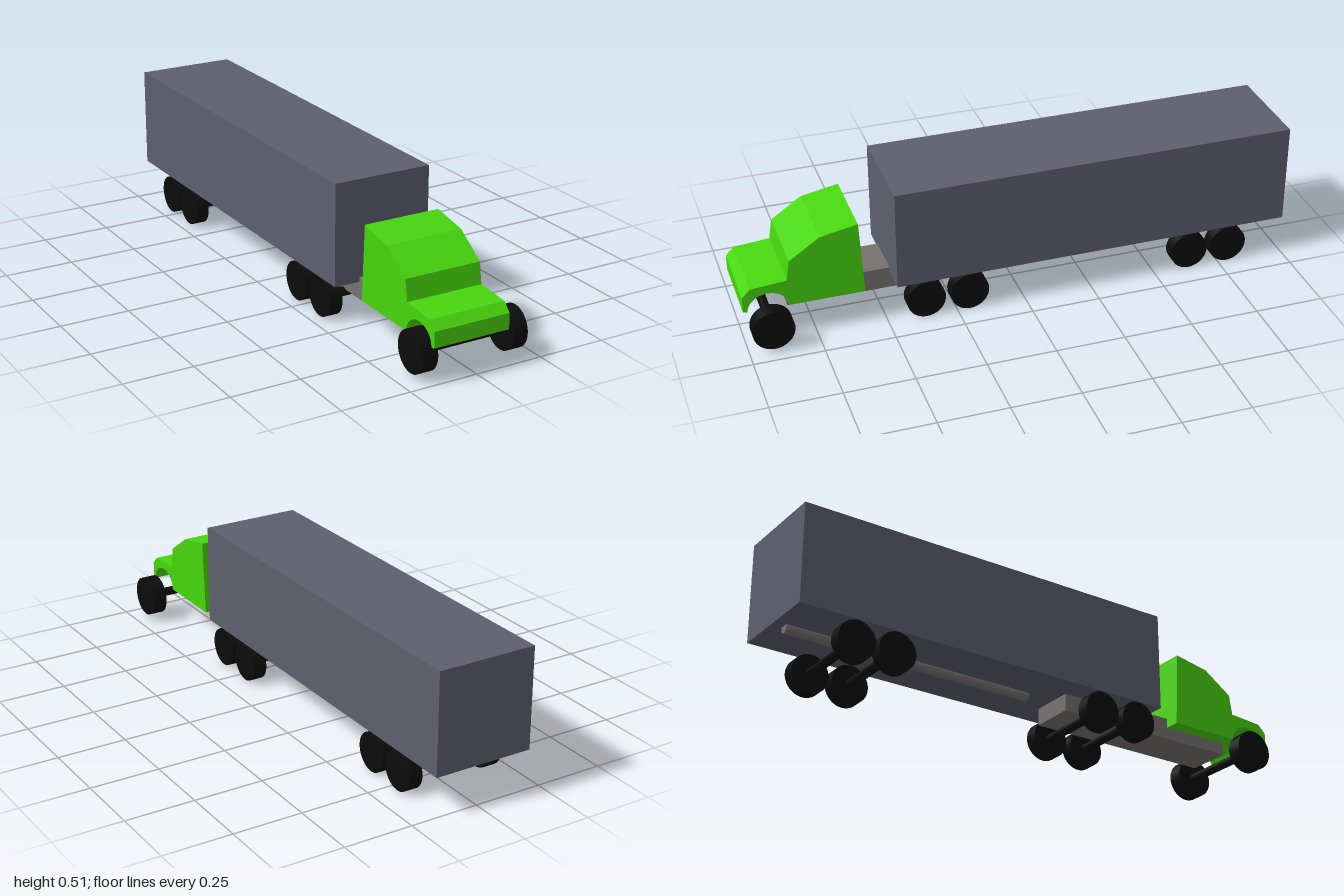
import * as THREE from 'three';

const material = (color) => new THREE.MeshStandardMaterial({ color });

export function createModel() {
  const truck = new THREE.Group();
  truck.name = 'truck';
  const green = material(0x48d60e);
  const slate = material(0x5d5f6e);
  const black = material(0x0c0c0c);
  const grey = material(0x777272);

  const add = (parent, name, geometry, mat) => {
    const mesh = new THREE.Mesh(geometry, mat);
    mesh.name = name;
    parent.add(mesh);
    return mesh;
  };

  // Box given by its limits on each axis
  const addBox = (name, [x0, x1], [y0, y1], [z0, z1], mat) =>
    add(truck, name, new THREE.BoxGeometry(x1 - x0, y1 - y0, z1 - z0), mat)
      .position.set((x0 + x1) / 2, (y0 + y1) / 2, (z0 + z1) / 2);

  addBox('trailerBox', [-0.205, 0.16], [0.143, 0.51], [-1, 0.465], slate);
  addBox('chassis', [-0.11, 0.055], [0.08, 0.16], [0.11, 0.835], grey);

  // Pipe under the trailer floor
  const pipe = new THREE.CylinderGeometry(0.018, 0.018, 0.96, 24).rotateX(Math.PI / 2);
  add(truck, 'trailerPipe', pipe, grey).position.set(-0.025, 0.135, -0.48);

  // Cab: side profile (z, y) with an open wheel arch, extruded across the width
  const profile = new THREE.Shape();
  profile.moveTo(0.57, 0.125);
  profile.lineTo(0.84, 0.125);
  profile.absellipse(0.912, 0.125, 0.072, 0.062, Math.PI, 0, true);
  [[1, 0.128], [1, 0.185], [0.97, 0.215], [0.842, 0.225], [0.83, 0.3], [0.72, 0.375], [0.585, 0.4]]
    .forEach(([z, y]) => profile.lineTo(z, y));
  profile.closePath();
  const cab = new THREE.ExtrudeGeometry(profile, { depth: 0.285, bevelEnabled: false, curveSegments: 16 });
  cab.rotateY(-Math.PI / 2).translate(0.12, 0, 0);
  add(truck, 'cab', cab, green);

  // Axle with a wheel at each end; limits are the outer wheel faces
  const addAxle = (name, z, y, radius, right, left, width) => {
    const axle = new THREE.Group();
    axle.name = name;
    axle.position.set(0, y, z);
    truck.add(axle);
    const bar = new THREE.CylinderGeometry(0.0165, 0.0165, left - right - width, 24).rotateZ(Math.PI / 2);
    add(axle, 'axleBar', bar, black).position.x = (left + right) / 2;
    const tyre = new THREE.CylinderGeometry(radius, radius, width, 40).rotateZ(Math.PI / 2);
    add(axle, 'rightWheel', tyre, black).position.x = right + width / 2;
    add(axle, 'leftWheel', tyre, black).position.x = left - width / 2;
  };

  addAxle('frontAxle', 0.913, 0.089, 0.074, -0.195, 0.205, 0.055);
  [0.362, 0.203].forEach((z, i) => addAxle(`driveAxle${i + 1}`, z, 0.07, 0.07, -0.205, 0.16, 0.05));
  [-0.633, -0.785].forEach((z, i) => addAxle(`trailerAxle${i + 1}`, z, 0.07, 0.07, -0.205, 0.16, 0.05));

  return truck;
}
